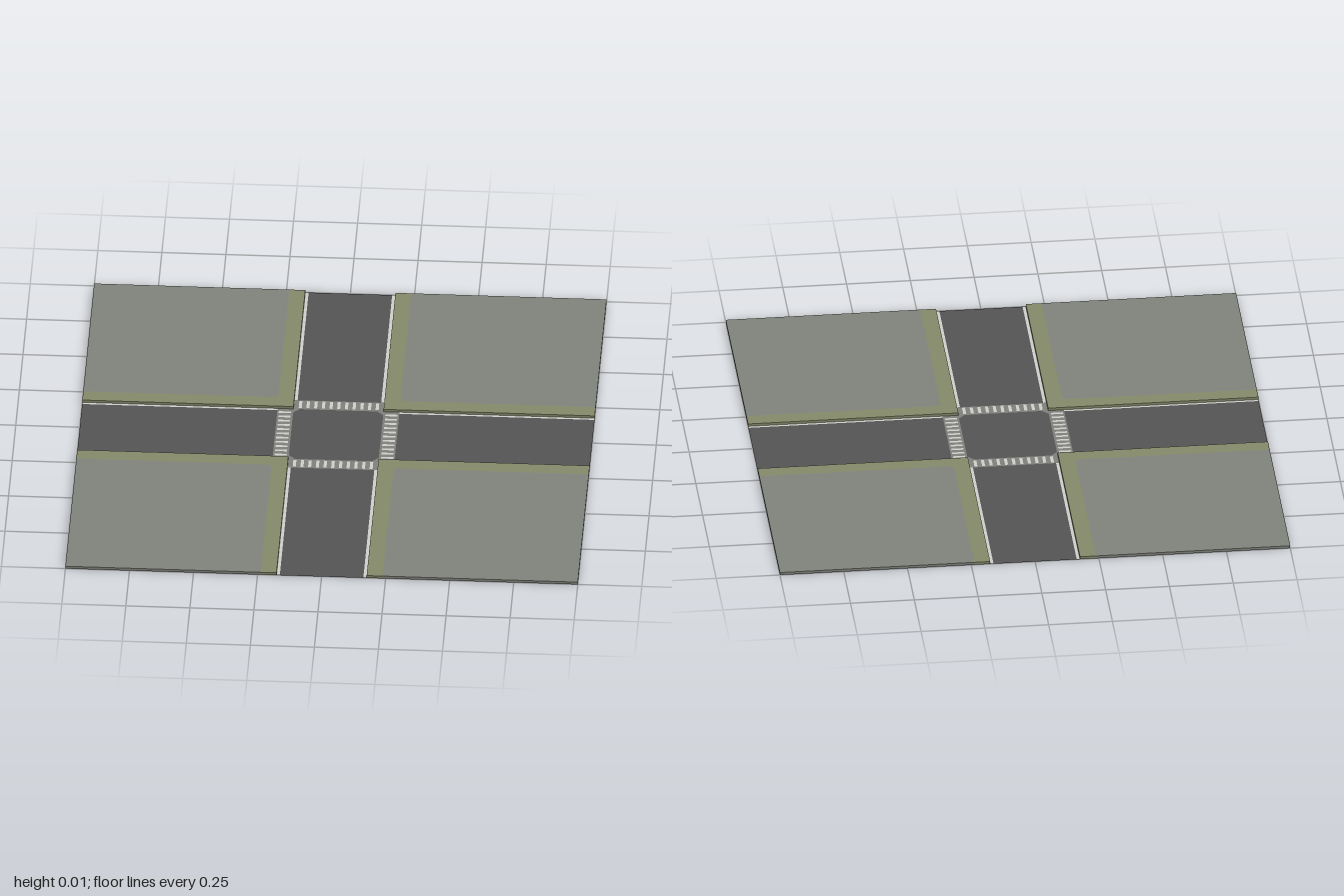
import * as THREE from 'three';

const EDGE = 0.176; // inner edge of the raised corners
const WALK = 0.238; // outer edge of verge and crossings
const HEIGHT = 0.011;

function material(name, color, side = THREE.FrontSide) {
  const m = new THREE.MeshStandardMaterial({ color, side });
  m.name = name;
  return m;
}

export function createModel() {
  const model = new THREE.Group();
  model.name = 'crossroads';
  const asphalt = material('asphalt', 0x555555, THREE.DoubleSide);
  const concrete = material('concrete', 0x7f807c, THREE.DoubleSide);
  const paving = material('paving', 0x81837c);
  const verge = material('verge', 0x868a6b);
  const paint = material('road paint', 0xcfcfcb);

  const add = (parent, name, geometry, mat) => {
    const mesh = new THREE.Mesh(geometry, mat);
    mesh.name = name;
    parent.add(mesh);
    return mesh;
  };
  const polygon = (points) => new THREE.Shape(points.map(([x, y]) => new THREE.Vector2(x, y)));
  const flat = (shape) => new THREE.ShapeGeometry(shape).rotateX(-Math.PI / 2);
  const slab = (shape) =>
    new THREE.ExtrudeGeometry(shape, { depth: HEIGHT, bevelEnabled: false, curveSegments: 6 }).rotateX(-Math.PI / 2);
  const rect = (x0, x1, y0, y1) => polygon([[x0, y0], [x1, y0], [x1, y1], [x0, y1]]);

  // Paved corner block with a rounded inner corner
  const r = 0.02;
  const block = new THREE.Shape();
  block.moveTo(WALK + r, WALK);
  block.lineTo(1, WALK);
  block.lineTo(1, 1);
  block.lineTo(WALK, 1);
  block.lineTo(WALK, WALK + r);
  block.quadraticCurveTo(WALK, WALK, WALK + r, WALK);

  // L-shaped verge around the block
  const strip = new THREE.Shape();
  strip.moveTo(EDGE, EDGE);
  strip.lineTo(1, EDGE);
  strip.lineTo(1, WALK);
  strip.lineTo(WALK + r, WALK);
  strip.quadraticCurveTo(WALK, WALK, WALK, WALK + r);
  strip.lineTo(WALK, 1);
  strip.lineTo(EDGE, 1);
  strip.closePath();

  // Four identical quarters turned about the centre
  for (let i = 0; i < 4; i++) {
    const quarter = new THREE.Group();
    quarter.name = 'quarter' + (i + 1);
    quarter.rotation.y = (i * Math.PI) / 2;
    model.add(quarter);

    add(quarter, 'cornerBlock', slab(block), paving);
    add(quarter, 'cornerVerge', slab(strip), verge);
    add(quarter, 'road', flat(rect(WALK, 1, -EDGE, EDGE)), asphalt);

    // Painted edge lines along the road
    for (const side of [-1, 1]) {
      const y = side * 0.169;
      add(quarter, 'edgeLine', flat(rect(WALK, 1, y - 0.006, y + 0.006)), paint).position.y = 0.0008;
    }
    // Crossing bars
    for (let k = 0; k < 11; k++) {
      const y = -0.15 + k * 0.03;
      add(quarter, 'crossingBar', flat(rect(0.184, 0.232, y - 0.006, y + 0.006)), paint).position.y = 0.0008;
    }
  }

  // Middle of the junction and the concrete crossings around it
  const c = EDGE - 0.025;
  const octagon = [[EDGE, -c], [EDGE, c], [c, EDGE], [-c, EDGE], [-EDGE, c], [-EDGE, -c], [-c, -EDGE], [c, -EDGE]];
  const ring = polygon([
    [WALK, -EDGE], [WALK, EDGE], [EDGE, EDGE], [EDGE, WALK], [-EDGE, WALK], [-EDGE, EDGE],
    [-WALK, EDGE], [-WALK, -EDGE], [-EDGE, -EDGE], [-EDGE, -WALK], [EDGE, -WALK], [EDGE, -EDGE],
  ]);
  const inner = octagon.map(([x, y]) => [x * 0.999, y * 0.999]);
  ring.holes.push(polygon(inner));
  add(model, 'crossings', flat(ring), concrete);
  add(model, 'junction', flat(polygon(inner)), asphalt);
  return model;
}
